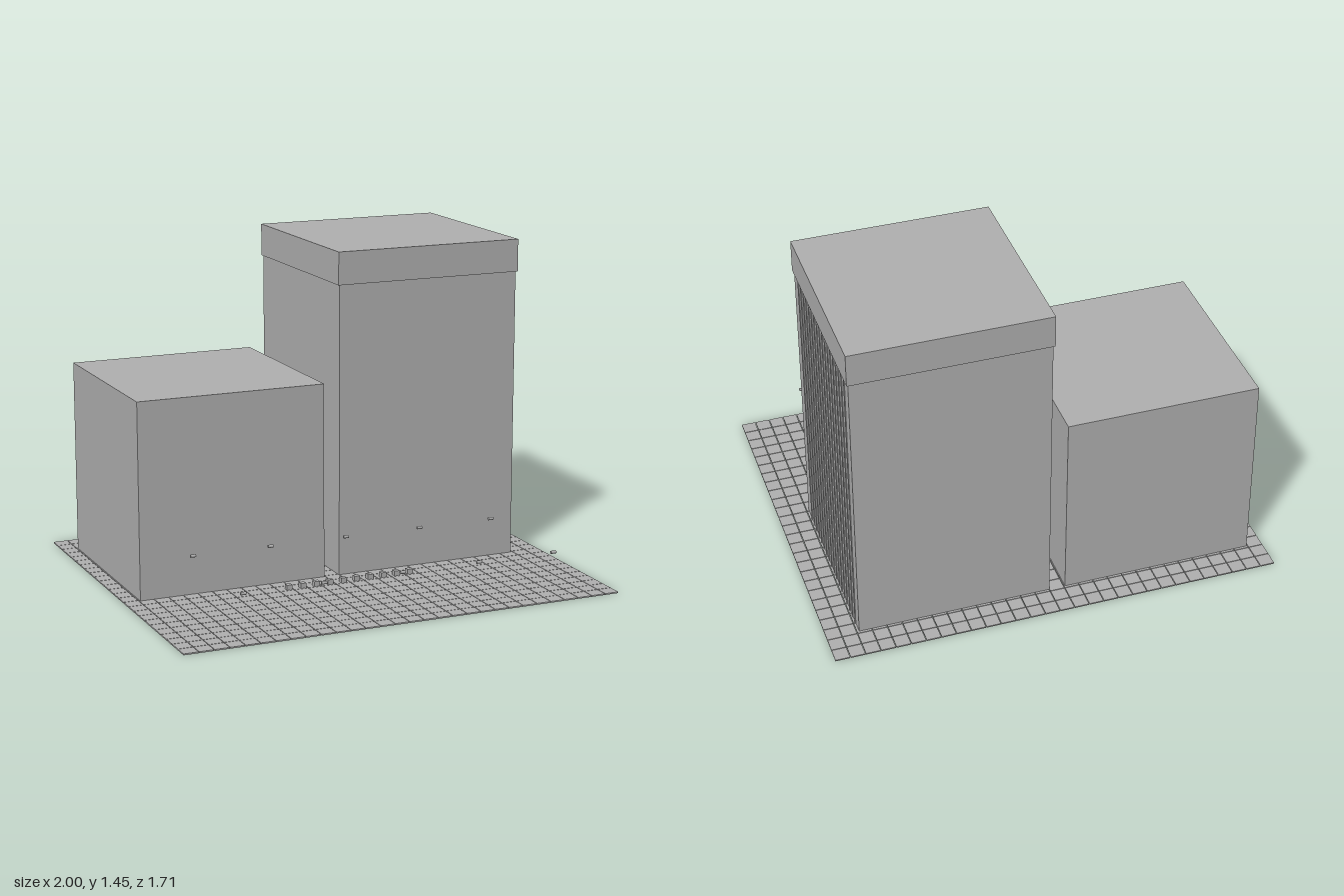
import * as THREE from 'three';

export function createModel() {
  const model = new THREE.Group();
  model.name = 'twinBuildings';
  const concrete = new THREE.MeshStandardMaterial({ color: 0xb0b0b0 });
  concrete.name = 'concrete grey';

  // Box given by its minimum and maximum along each axis
  function box(name, [x0, x1], [y0, y1], [z0, z1], parent = model) {
    const mesh = new THREE.Mesh(new THREE.BoxGeometry(x1 - x0, y1 - y0, z1 - z0), concrete);
    mesh.position.set((x0 + x1) / 2, (y0 + y1) / 2, (z0 + z1) / 2);
    mesh.name = name;
    parent.add(mesh);
    return mesh;
  }
  function group(name) {
    const g = new THREE.Group();
    g.name = name;
    model.add(g);
    return g;
  }

  // Plaza of separate paving slabs
  const top = 0.006, gap = 0.003, depth = 1.714;
  const columns = 30, rows = 26;
  const plaza = group('plaza');
  const dx = (2 + gap) / columns, dz = (depth + gap) / rows;
  for (let i = 0; i < columns; i++) {
    for (let j = 0; j < rows; j++) {
      const x = -1 + i * dx, z = -depth / 2 + j * dz;
      box('pavingSlab', [x, x + dx - gap], [0, top], [z, z + dz - gap], plaza);
    }
  }

  // Two buildings, the tower's cap and the link between them
  const footprint = [-0.714, 0.143];
  box('lowBlock', [-0.929, -0.072], [top, 0.877], footprint);
  box('tower', [0, 0.857], [top, 1.305], footprint);
  box('towerCap', [-0.007, 0.864], [1.305, 1.45], [-0.721, 0.15]);
  box('linkBridge', [-0.072, 0], [0.432, 0.573], [-0.357, -0.216]);

  // Thin upright fins on the tower's outer wall
  const fins = group('towerFins');
  for (let i = 0; i < 18; i++) {
    const z = 0.071 - i * 0.0429;
    box('fin', [0.855, 0.861], [top, 1.305], [z - 0.0025, z + 0.0025], fins);
  }

  // Row of bollards in front of the buildings
  const bollards = group('bollards');
  for (let i = 0; i < 10; i++) {
    const x = -0.286 + i * 0.0643;
    box('bollard', [x - 0.013, x + 0.013], [top, 0.028], [0.235, 0.259], bollards);
  }

  // Two rows of small hanging lamps
  const lamps = group('lamps');
  const lampShape = new THREE.CylinderGeometry(0.007, 0.007, 0.024, 8).rotateZ(Math.PI / 2);
  for (const z of [0.215, 0.786]) {
    for (let i = -2; i <= 2; i++) {
      const lamp = new THREE.Mesh(lampShape, concrete);
      lamp.name = 'lamp';
      lamp.position.set(i * 0.357, 0.2, z);
      lamps.add(lamp);
    }
  }
  return model;
}
